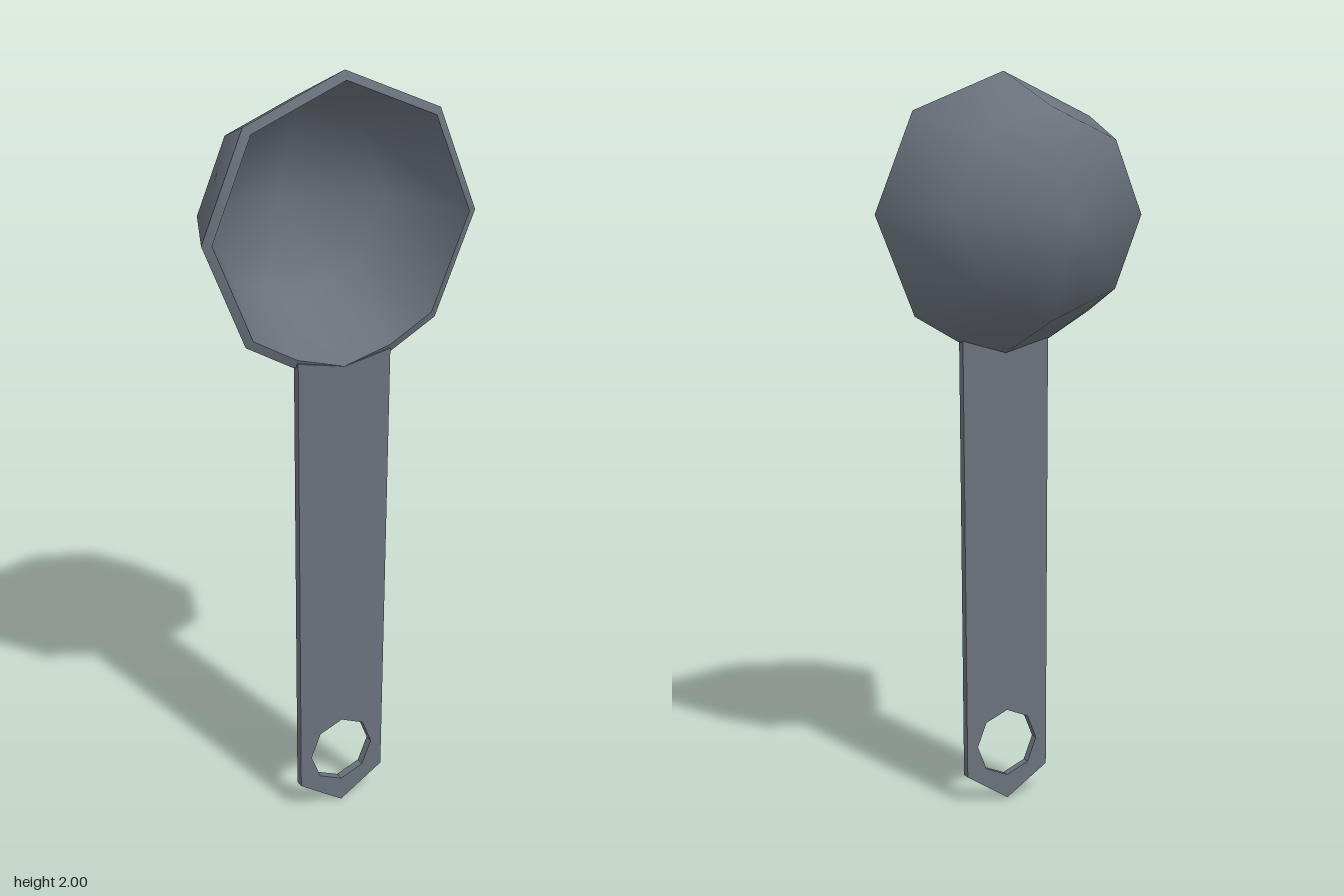
import * as THREE from 'three';
import { mergeVertices } from 'three/addons/utils/BufferGeometryUtils.js';

const CENTER_Y = 1.625;

// Octagonal ring of radius r at depth z, with two extra points beside the handle
function ring(r, z, bulge = 1) {
  const at = (k) => new THREE.Vector2(Math.cos(k * Math.PI / 4), Math.sin(k * Math.PI / 4));
  const points = [];
  for (let k = 0; k < 8; k++) {
    points.push(at(k));
    if (k === 5 || k === 6) points.push(at(k).add(at(k + 1)).multiplyScalar(0.5 * bulge));
  }
  return points.map((p) => [p.x * r, CENTER_Y + p.y * r, z]);
}

// Smooth skin through a list of rings
function loft(rings) {
  const n = rings[0].length;
  const index = [];
  for (let i = 0; i < rings.length - 1; i++) {
    for (let j = 0; j < n; j++) {
      const a = i * n + j, b = i * n + (j + 1) % n;
      index.push(a, b, b + n, a, b + n, a + n);
    }
  }
  const geometry = new THREE.BufferGeometry();
  geometry.setAttribute('position', new THREE.Float32BufferAttribute(rings.flat(2), 3));
  geometry.setIndex(index);
  const merged = mergeVertices(geometry, 1e-4);
  merged.computeVertexNormals();
  return merged;
}

export function createModel() {
  const group = new THREE.Group();
  const gray = new THREE.MeshStandardMaterial({ color: 0x69717b });
  gray.name = 'slate gray';
  const add = (name, geometry, parent = group) => {
    const mesh = new THREE.Mesh(geometry, gray);
    mesh.name = name;
    parent.add(mesh);
  };

  // Bowl: outer shell, sloping rim, inner shell
  const bowl = new THREE.Group();
  bowl.name = 'bowl';
  group.add(bowl);
  const outerRim = ring(0.375, 0.178, 1.05);
  const innerRim = ring(0.352, 0.188, 1.05);
  add('bowlOutside', loft([ring(0, -0.19), ring(0.376 * 0.71 / 0.71 * 0.72, -0.08), outerRim]), bowl);
  add('bowlRim', loft([outerRim, innerRim]), bowl);
  add('bowlInside', loft([innerRim, ring(0.252, -0.065), ring(0, -0.168)]), bowl);

  // Flat handle with a pointed end and an octagonal hanging hole
  const outline = new THREE.Shape([
    [0, 0], [0.124, 0.08], [0.13, 1.3], [0, 1.273], [-0.13, 1.3], [-0.124, 0.08],
  ].map(([x, y]) => new THREE.Vector2(x, y)));
  const hole = [];
  for (let k = 0; k < 8; k++) {
    const a = -k * Math.PI / 4;
    hole.push(new THREE.Vector2(0.092 * Math.cos(a), 0.161 + 0.094 * Math.sin(a)));
  }
  outline.holes.push(new THREE.Path(hole));
  const handle = new THREE.ExtrudeGeometry(outline, { depth: 0.023, bevelEnabled: false });
  handle.translate(0, 0, 0.167);
  add('handle', handle);

  return group;
}
